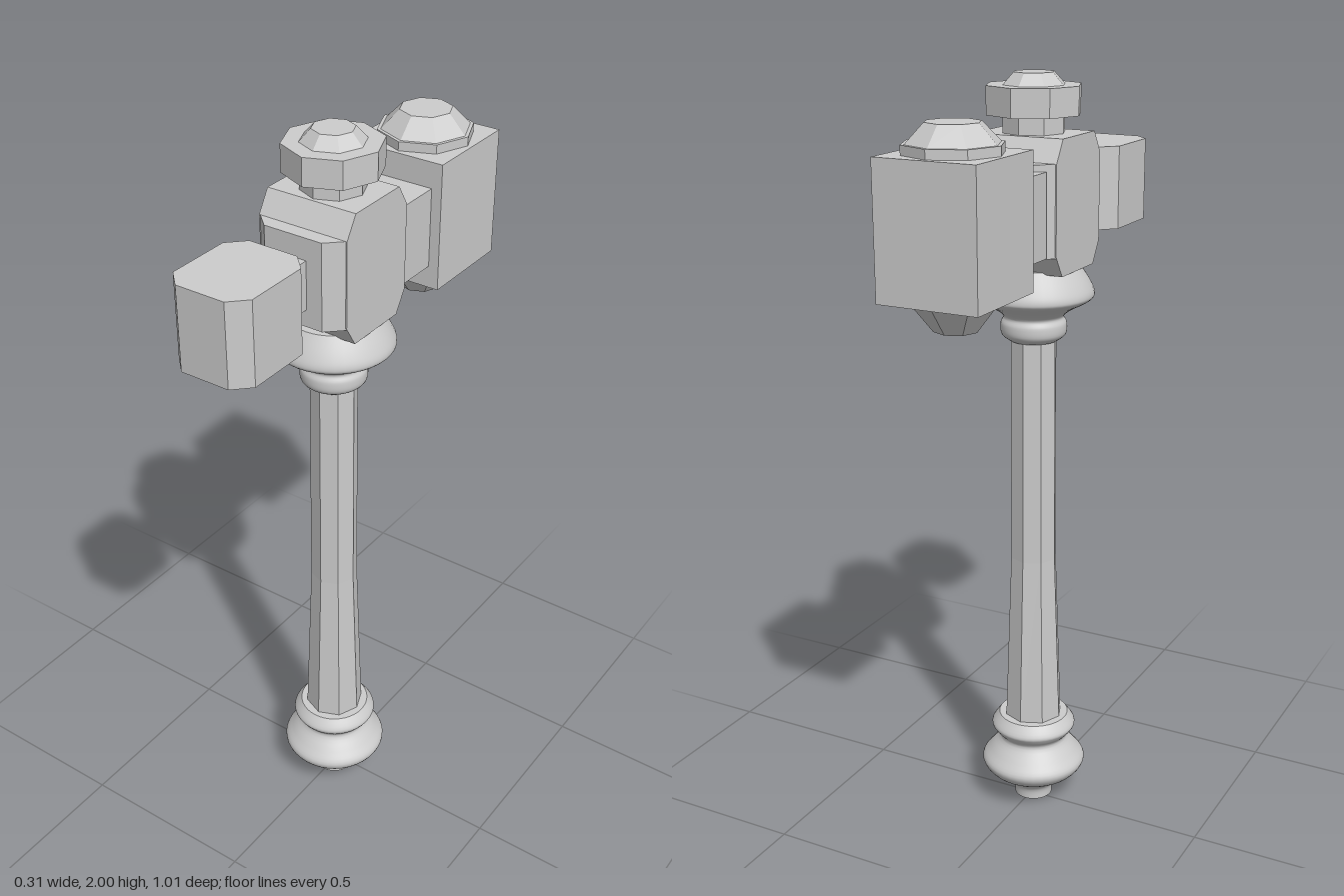
import * as THREE from 'three';

export function createModel() {
  const root = new THREE.Group();
  root.name = 'warHammer';
  const steel = new THREE.MeshStandardMaterial({ color: 0xcccccc });
  steel.name = 'grey steel';
  const AXIS = 0.015; // z of the shaft
  const BACK = -0.373; // z of the rear striking block

  function add(name, geometry, x = 0, y = 0, z = 0) {
    const mesh = new THREE.Mesh(geometry, steel);
    mesh.name = name;
    mesh.position.set(x, y, z);
    root.add(mesh);
    return mesh;
  }

  // Faceted eight-sided section between two heights
  function octagon(name, y0, y1, r0, r1, z, x = 0) {
    const g = new THREE.CylinderGeometry(r1, r0, y1 - y0, 8).toNonIndexed();
    g.computeVertexNormals();
    return add(name, g, x, (y0 + y1) / 2, z);
  }

  // Box spanning y0..y1 and z0..z1
  function block(name, width, y0, y1, z0, z1, x = 0) {
    return add(name, new THREE.BoxGeometry(width, y1 - y0, z1 - z0), x, (y0 + y1) / 2, (z0 + z1) / 2);
  }

  // Centred prism whose rectangular outline has cut corners
  function cutPrism(w, h, cx, cy, depth) {
    const a = w / 2, b = h / 2;
    const shape = new THREE.Shape([
      [a, -b + cy], [a, b - cy], [a - cx, b], [-a + cx, b],
      [-a, b - cy], [-a, -b + cy], [-a + cx, -b], [a - cx, -b],
    ].map(([x, y]) => new THREE.Vector2(x, y)));
    return new THREE.ExtrudeGeometry(shape, { depth, bevelEnabled: false }).translate(0, 0, -depth / 2);
  }

  // Smooth turned part with flat end caps
  function turned(name, points) {
    const curve = new THREE.SplineCurve(points.map(([r, y]) => new THREE.Vector2(r, y)));
    const profile = curve.getPoints(40);
    add(name, new THREE.LatheGeometry(profile, 40), 0, 0, AXIS);
    const ends = [[profile[0], Math.PI / 2], [profile[40], -Math.PI / 2]];
    for (const [p, turn] of ends) {
      add(name + 'End', new THREE.CircleGeometry(p.x, 40).rotateX(turn), 0, p.y, AXIS);
    }
  }

  // Shaft: tapered lower half, straight upper half
  octagon('lowerShaft', 0.24, 0.73, 0.08, 0.063, AXIS);
  octagon('upperShaft', 0.73, 1.36, 0.063, 0.061, AXIS);

  // Turned pommel and collar
  turned('pommel', [
    [0.052, 0], [0.055, 0.03], [0.08, 0.055], [0.125, 0.085], [0.143, 0.117],
    [0.12, 0.15], [0.092, 0.185], [0.108, 0.21], [0.115, 0.228], [0.095, 0.257],
  ]);
  turned('collar', [
    [0.062, 1.333], [0.083, 1.35], [0.085, 1.378], [0.078, 1.398], [0.105, 1.42],
    [0.147, 1.443], [0.155, 1.46], [0.142, 1.49], [0.116, 1.53],
  ]);

  // Central head: two crossed blocks with cut corners
  add('headCore', cutPrism(0.244, 0.332, 0.034, 0.055, 0.246).rotateY(-Math.PI / 2), 0, 1.69, AXIS);
  add('headCheeks', cutPrism(0.244, 0.32, 0.042, 0.04, 0.226).rotateX(Math.PI / 2), 0, 1.688, AXIS);

  // Finial
  octagon('finialNeck', 1.85, 1.905, 0.08, 0.08, AXIS);
  octagon('finialCap', 1.9, 1.97, 0.122, 0.122, AXIS);
  octagon('finialTip', 1.97, 2.0, 0.08, 0.052, AXIS);

  // Front hammer
  block('frontNeck', 0.074, 1.62, 1.745, 0.16, 0.26);
  add('frontHammer', cutPrism(0.216, 0.256, 0.042, 0.042, 0.215).rotateX(Math.PI / 2), 0, 1.688, 0.375);

  // Rear block with faceted studs above and below
  block('rearNeck', 0.216, 1.578, 1.785, -0.25, -0.13);
  block('rearBlock', 0.266, 1.52, 1.852, -0.506, -0.24, 0.003);
  octagon('topStudRim', 1.85, 1.875, 0.122, 0.122, BACK, 0.003);
  octagon('topStud', 1.875, 1.922, 0.113, 0.067, BACK, 0.003);
  octagon('bottomStud', 1.445, 1.522, 0.055, 0.115, BACK, 0.003);

  return root;
}
